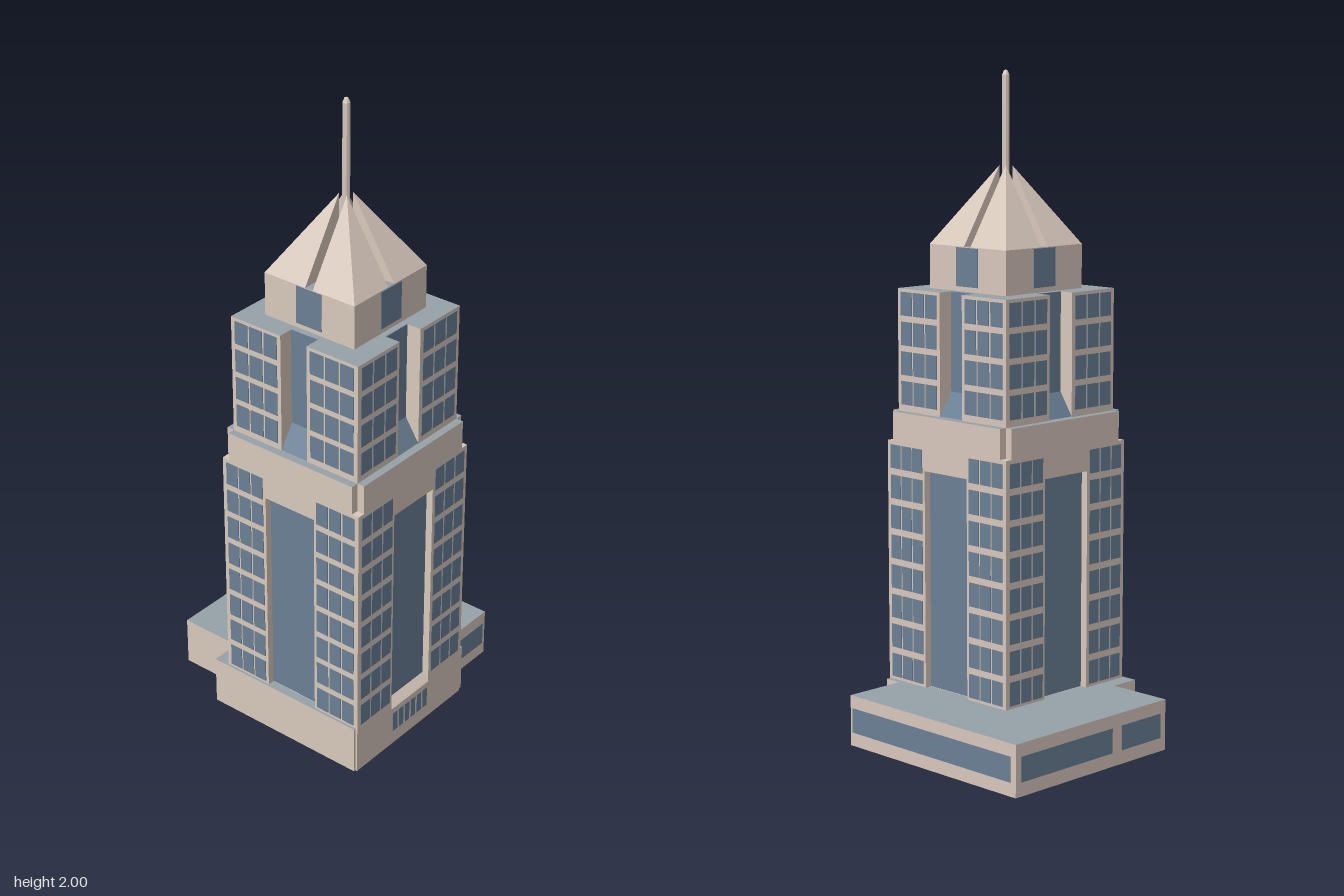
import * as THREE from 'three';

const CX = -0.103, CZ = 0.124; // tower axis
const material = (name, color, side = THREE.FrontSide) => {
  const m = new THREE.MeshStandardMaterial({ color, side });
  m.name = name;
  return m;
};

export function createModel() {
  const stone = material('stone', 0xd8c8bc, THREE.DoubleSide);
  const glass = material('glass', 0x6a7f95, THREE.DoubleSide);
  const roof = material('roof', 0x97a1a9, THREE.DoubleSide);

  const model = new THREE.Group();
  model.name = 'skyscraper';
  const tower = new THREE.Group();
  tower.name = 'tower';
  tower.position.set(CX, 0, CZ);
  model.add(tower);

  const add = (parent, name, geometry, mat) => {
    const mesh = new THREE.Mesh(geometry, mat);
    mesh.name = name;
    parent.add(mesh);
    return mesh;
  };
  // plan outline given as [x, z]
  const plan = (pts) => new THREE.Shape(pts.map(([x, z]) => new THREE.Vector2(x, -z)));
  const prism = (name, pts, y0, y1, caps) => {
    const g = new THREE.ExtrudeGeometry(plan(pts), { depth: y1 - y0, bevelEnabled: false });
    g.rotateX(-Math.PI / 2).translate(0, y0, 0);
    return add(tower, name, g, [caps, stone]);
  };
  const polygons = (faces) => {
    const out = [];
    for (const f of faces)
      for (let i = 1; i < f.length - 1; i++) out.push(...f[0], ...f[i], ...f[i + 1]);
    const g = new THREE.BufferGeometry();
    g.setAttribute('position', new THREE.Float32BufferAttribute(out, 3));
    g.computeVertexNormals();
    return g;
  };
  // open-bottomed upright walls along a closed outline
  const walls = (parent, name, pts, y0, y1) =>
    add(parent, name, polygons(pts.map(([x, z], i) => {
      const [u, w] = pts[(i + 1) % pts.length];
      return [[x, y0, z], [u, y0, w], [u, y1, w], [x, y1, z]];
    })), stone);
  // repeat a quarter outline around the axis
  const fourfold = (pts) => {
    const out = [];
    for (let k = 0; k < 4; k++) {
      for (const [x, z] of pts) out.push([[x, z], [z, -x], [-x, -z], [-z, x]][k]);
    }
    return out;
  };
  const square = (h) => fourfold([[h, h]]);
  const recessed = (h, w, d) => fourfold([[-h, h], [-w, h], [-w, h - d], [w, h - d], [w, h]]);

  // ---- low podium ----
  const podium = new THREE.Group();
  podium.name = 'podium';
  model.add(podium);
  const outline = [
    [-0.362, 0.37], [-0.193, 0.37], [-0.193, 0.352], [-0.013, 0.352], [-0.013, 0.37], [0.167, 0.37],
    [0.167, 0.315], [0.362, 0.315], [0.362, -0.38], [-0.268, -0.38], [-0.268, -0.175], [-0.362, -0.175],
  ];
  walls(podium, 'podiumWalls', outline, 0, 0.155);
  const deck = new THREE.ShapeGeometry(plan(outline));
  deck.rotateX(-Math.PI / 2).translate(0, 0.155, 0);
  add(podium, 'podiumRoof', deck, roof);

  const strip = (x0, x1, z0, z1) => {
    const t = 0.004;
    const g = new THREE.BoxGeometry(Math.max(x1 - x0, t), 0.075, Math.max(z1 - z0, t));
    add(podium, 'podiumWindow', g, glass).position.set((x0 + x1) / 2, 0.079, (z0 + z1) / 2);
  };
  strip(0.178, 0.35, 0.315, 0.315);
  strip(0.362, 0.362, -0.36, 0.305);
  strip(-0.035, 0.342, -0.38, -0.38);
  strip(-0.245, -0.075, -0.38, -0.38);
  strip(-0.35, -0.28, -0.175, -0.175);

  // ---- tower masses ----
  const H = 0.252, N = 0.024;
  walls(tower, 'towerBase', square(H), 0, 0.13);
  prism('mainShaft', recessed(H, 0.09, N), 0.13, 0.82, roof);
  prism('shaftHead', square(H), 0.82, 0.895, stone);
  prism('shaftParapet', fourfold([[H - N, H], [H - N, H - N], [H, H - N]]), 0.895, 0.985, roof);
  prism('upperTier', recessed(0.228, 0.047, 0.048), 0.985, 1.355, roof);
  prism('crownBlock', square(0.16), 1.355, 1.487, roof);

  // ---- details repeated on each side ----
  for (let k = 0; k < 4; k++) {
    const side = new THREE.Group();
    side.name = 'facade' + (k + 1);
    side.rotation.y = k * Math.PI / 2;
    tower.add(side);

    const pane = (name, x, y, w, h, z) =>
      add(side, name, new THREE.BoxGeometry(w, h, 0.004), glass).position.set(x, y, z);
    const windows = (name, firstX, pitchX, w, firstY, pitchY, rows, h, z) => {
      for (const s of [-1, 1])
        for (let c = 0; c < 3; c++)
          for (let r = 0; r < rows; r++)
            pane(name, s * (firstX + c * pitchX), firstY + r * pitchY, w, h, z);
    };
    windows('shaftWindow', 0.121, 0.0478, 0.042, 0.2, 0.0925, 8, 0.072, H);
    windows('tierWindow', 0.0835, 0.0535, 0.047, 1.041, 0.0895, 4, 0.071, 0.228);
    windows('entranceWindow', 0.0145, 0.029, 0.021, 0.08, 0, 1, 0.066, H);

    // tall glass set into the recesses
    pane('shaftGlazing', 0, 0.4875, 0.18, 0.665, H - N);
    pane('tierGlazing', 0, 1.17, 0.094, 0.37, 0.18);
    pane('crownWindow', 0, 1.427, 0.09, 0.115, 0.16);

    // sloping sills at the foot of each recess
    const sill = (name, w, y0, z0, y1, z1, mat) =>
      add(side, name, polygons([[[-w, y0, z0], [w, y0, z0], [w, y1, z1], [-w, y1, z1]]]), mat);
    sill('shaftSill', 0.09, 0.13, H, 0.158, H - N, stone);
    sill('tierSill', 0.047, 0.987, 0.228, 1.06, 0.18, glass);

    // quarter of the split pyramid roof
    const a = 0.0135, b = 0.16, y = 1.487;
    const apex = [a, 1.72, a], inner = [a, y, a], px = [b, y, a], pz = [a, y, b], corner = [b, y, b];
    add(side, 'pyramidQuarter', polygons([
      [pz, corner, apex], [corner, px, apex], [px, inner, apex], [inner, pz, apex],
    ]), stone);
  }

  // ---- spire ----
  const profile = [[0.011, 1.487], [0.011, 1.985], [0.006, 1.997], [0, 2]];
  const spire = new THREE.LatheGeometry(profile.map(([r, y]) => new THREE.Vector2(r, y)), 8).toNonIndexed();
  spire.computeVertexNormals();
  add(tower, 'spire', spire, stone);

  return model;
}
